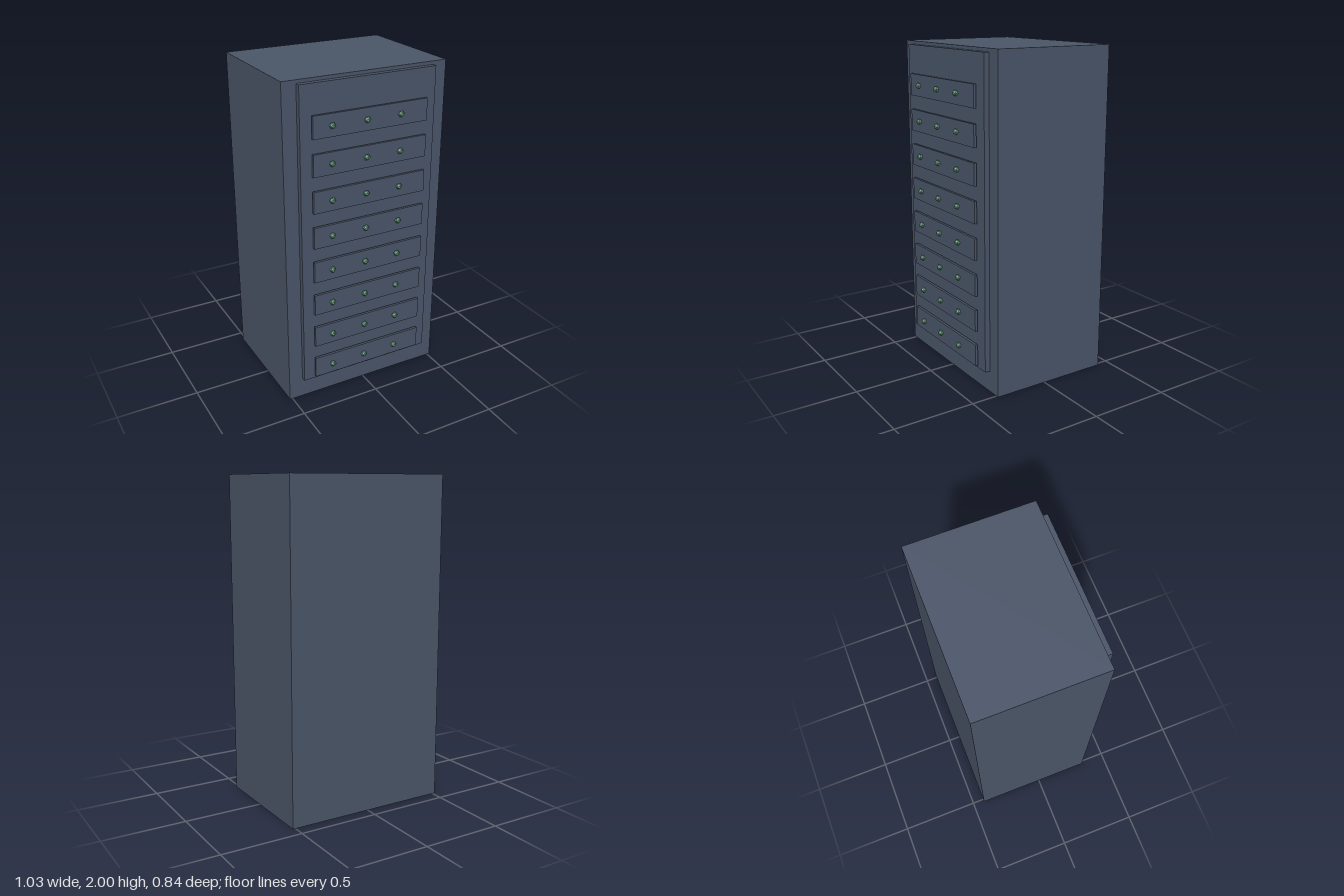
import * as THREE from 'three';

export function createModel() {
  const model = new THREE.Group();
  model.name = 'cabinet';

  const slate = new THREE.MeshStandardMaterial({ color: 0x4a5568, flatShading: true });
  slate.name = 'slate';
  const green = new THREE.MeshStandardMaterial({ color: 0x5f9678, flatShading: true });
  green.name = 'muted green';

  // Box given by its half width and its y and z ranges
  const box = (name, halfWidth, y0, y1, z0, z1) => {
    const geometry = new THREE.BoxGeometry(halfWidth * 2, y1 - y0, z1 - z0);
    const mesh = new THREE.Mesh(geometry, slate);
    mesh.position.set(0, (y0 + y1) / 2, (z0 + z1) / 2);
    mesh.name = name;
    return mesh;
  };

  // Case and raised front panel
  model.add(box('case', 0.517, 0, 2, -0.424, 0.337));
  model.add(box('frontPanel', 0.43, 0.13, 1.98, 0.337, 0.369));

  // Eight floating unit plates, each with three faceted lights
  const lightGeometry = new THREE.IcosahedronGeometry(0.0194, 0);
  for (let row = 0; row < 8; row++) {
    const y = 0.219 + row * 0.2177;
    const unit = new THREE.Group();
    unit.name = `unit${row + 1}`;
    unit.add(box('unitPlate', 0.364, y - 0.066, y + 0.066, 0.379, 0.395));
    for (let i = 0; i < 3; i++) {
      const light = new THREE.Mesh(lightGeometry, green);
      light.position.set(-0.251 + i * 0.218, y, 0.4035);
      light.name = 'light';
      unit.add(light);
    }
    model.add(unit);
  }
  return model;
}
